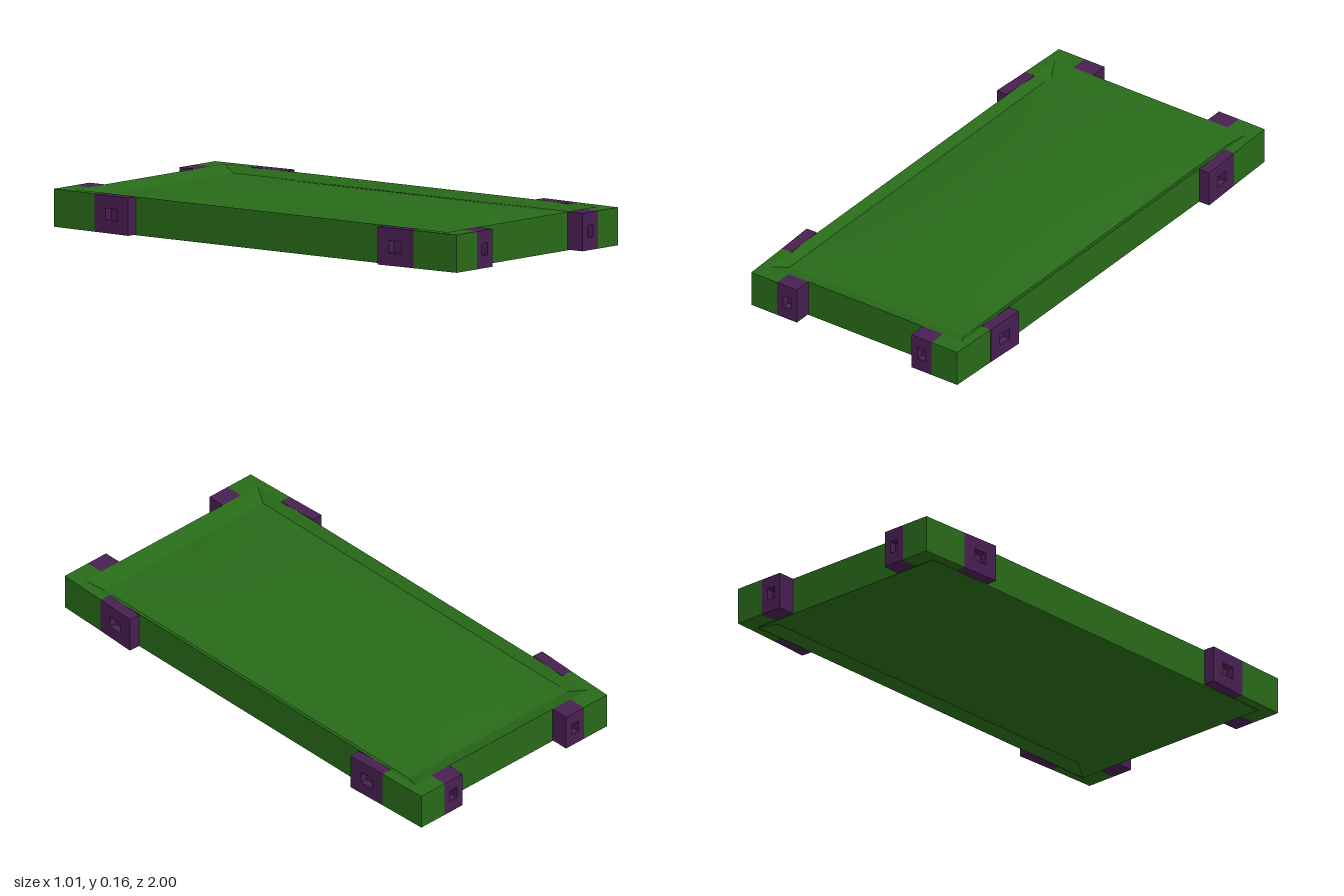
import * as THREE from 'three';

const GREEN = new THREE.MeshStandardMaterial({ color: 0x286a19, flatShading: true });
const SMOOTH_GREEN = new THREE.MeshStandardMaterial({ color: 0x286a19 });
const PURPLE = new THREE.MeshStandardMaterial({ color: 0x481f51, flatShading: true });
const BOTTOM = 0.003, TOP = 0.15, MID = (TOP + BOTTOM) / 2;
const PAD_X = 0.418, PAD_Z = 0.853, PAD_TOP = 0.125, PAD_BOTTOM = 0.028;

function add(parent, name, geometry, material) {
  const mesh = new THREE.Mesh(geometry, material);
  mesh.name = name;
  parent.add(mesh);
  return mesh;
}

// Rectangular loop, counter-clockwise from above
function rectLoop(hx, hz, y) {
  return [[-hx, y, hz], [hx, y, hz], [hx, y, -hz], [-hx, y, -hz]];
}

// Joins successive loops with quads
function loft(loops) {
  const pos = [];
  for (let k = 0; k < loops.length - 1; k++) {
    const a = loops[k], b = loops[k + 1], n = a.length;
    for (let i = 0; i < n; i++) {
      const j = (i + 1) % n;
      pos.push(...a[i], ...b[i], ...b[j], ...a[i], ...b[j], ...a[j]);
    }
  }
  const g = new THREE.BufferGeometry();
  g.setAttribute('position', new THREE.Float32BufferAttribute(pos, 3));
  g.computeVertexNormals();
  return g;
}

// Sheet that fills the rim, swelling from level edges to its middle
function padGeometry(swell) {
  const g = new THREE.PlaneGeometry(2 * PAD_X, 2 * PAD_Z, 16, 16).rotateX(-Math.PI / 2);
  const p = g.attributes.position;
  const rise = (t) => 1 - 0.6 * t ** 2 - 0.4 * t ** 4;
  for (let i = 0; i < p.count; i++) {
    p.setY(i, swell * rise(p.getX(i) / PAD_X) * rise(p.getZ(i) / PAD_Z));
  }
  g.computeVertexNormals();
  return g;
}

// L-shaped corner prism, drawn in plan
function cornerGeometry(sx, sz) {
  const plan = [[0.455, 0.79], [0.497, 0.79], [0.49, 1], [0.367, 1], [0.367, 0.925], [0.455, 0.925]];
  const shape = new THREE.Shape(plan.map(([x, z]) => new THREE.Vector2(x * sx, -z * sz)));
  const g = new THREE.ExtrudeGeometry(shape, { depth: TOP - BOTTOM, bevelEnabled: false });
  return g.rotateX(-Math.PI / 2).translate(0, BOTTOM, 0);
}

function rectangle(target, w, h) {
  target.moveTo(-w / 2, -h / 2).lineTo(w / 2, -h / 2).lineTo(w / 2, h / 2).lineTo(-w / 2, h / 2).closePath();
  return target;
}

// Connector block with a square socket, outer face at local z = 0
function connector(name, width, depth, holeWidth) {
  const group = new THREE.Group();
  group.name = name;
  const height = TOP - BOTTOM, socket = 0.03;
  const face = rectangle(new THREE.Shape(), width, height);
  face.holes.push(rectangle(new THREE.Path(), holeWidth, 0.048));
  const frame = new THREE.ExtrudeGeometry(face, { depth: socket, bevelEnabled: false });
  add(group, 'socketFrame', frame.translate(0, 0, -socket), PURPLE);
  const back = new THREE.BoxGeometry(width, height, depth - socket);
  add(group, 'socketBack', back.translate(0, 0, -(depth + socket) / 2), PURPLE);
  return group;
}

export function createModel() {
  const model = new THREE.Group();
  model.name = 'panel';

  // Straight rim sloping in to the pads, above and below
  add(model, 'rim', loft([
    rectLoop(PAD_X, PAD_Z, PAD_TOP),
    rectLoop(0.455, 0.925, TOP),
    rectLoop(0.455, 0.925, 0),
    rectLoop(PAD_X, PAD_Z, PAD_BOTTOM),
  ]), GREEN);

  // Domed top and flat recessed underside
  add(model, 'topPad', padGeometry(0.03), SMOOTH_GREEN).position.y = PAD_TOP;
  const underside = new THREE.PlaneGeometry(2 * PAD_X, 2 * PAD_Z).rotateX(Math.PI / 2);
  add(model, 'underside', underside, GREEN).position.y = PAD_BOTTOM;

  // Corners, each with a connector on the long side and one on the end
  for (const sx of [-1, 1]) {
    for (const sz of [-1, 1]) {
      const name = (sz > 0 ? 'front' : 'back') + (sx > 0 ? 'Left' : 'Right');
      add(model, name + 'Corner', cornerGeometry(sx, sz), GREEN);

      const side = connector(name + 'SideConnector', 0.172, 0.046, 0.06);
      side.position.set(sx * 0.501, MID, sz * 0.705);
      side.rotation.y = sx * (Math.PI / 2 - sz * 0.045);
      model.add(side);

      const end = connector(name + 'EndConnector', 0.094, 0.075, 0.036);
      end.position.set(sx * 0.32, MID, sz);
      end.rotation.y = sz > 0 ? 0 : Math.PI;
      model.add(end);
    }
  }
  return model;
}
